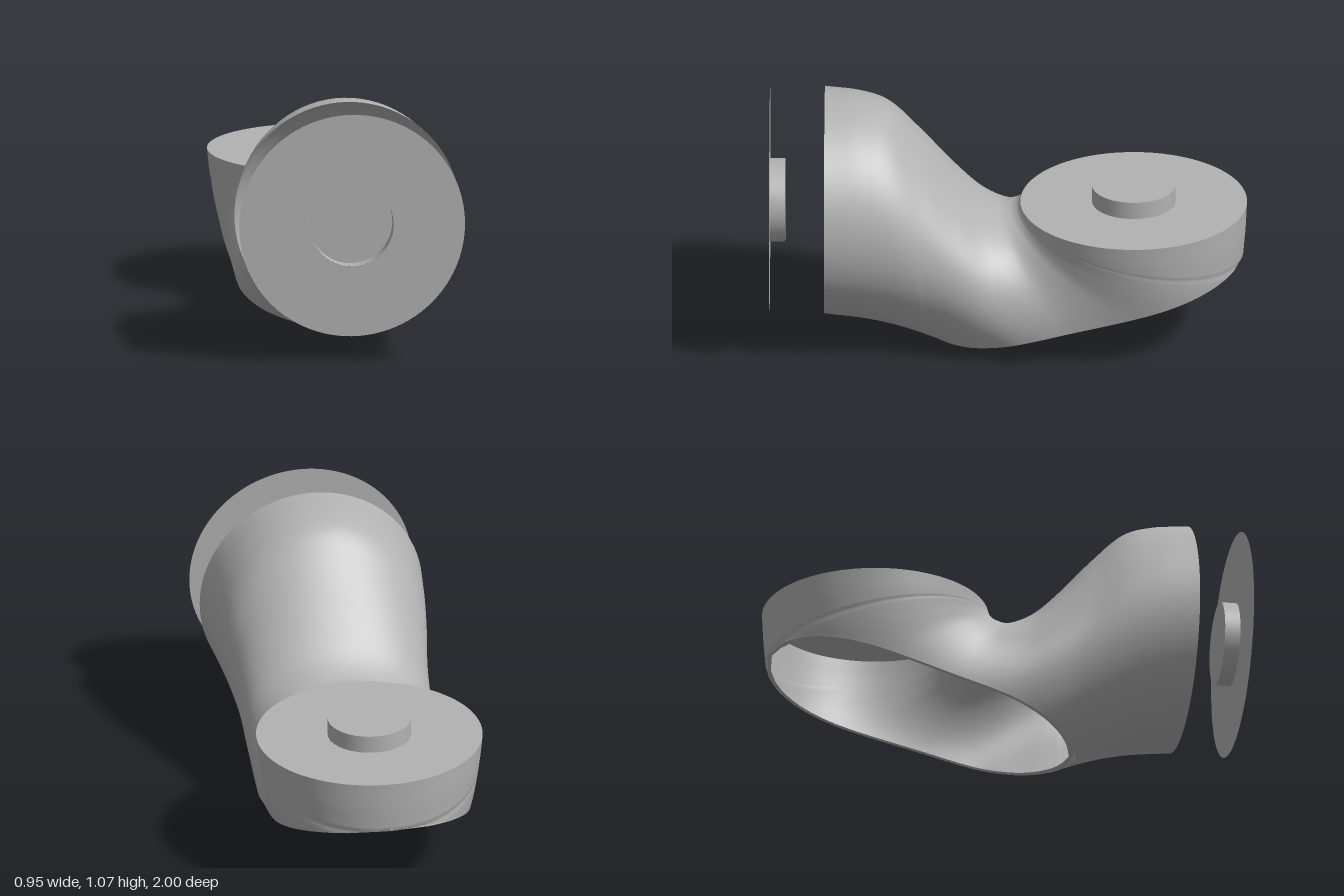
import * as THREE from 'three';

const ROWS = 110, COLS = 80, R = 0.475, BOSS = 0.175, MID = 0.59;

// Cross-sections from the front opening round to the top plate:
// inner bend z, y / outer bend z, y / half width
const SECTIONS = [
  [0.77, 1.07, 0.77, 0.115, 0.475],
  [0.62, 1.055, 0.58, 0.085, 0.455],
  [0.5, 1.01, 0.42, 0.04, 0.435],
  [0.37, 0.88, 0.25, -0.03, 0.41],
  [0.25, 0.74, 0.05, -0.13, 0.4],
  [0.14, 0.625, -0.2, -0.22, 0.395],
  [0.05, 0.565, -0.55, -0.2, 0.398],
  [0.0, 0.555, -0.85, 0.0, 0.42],
  [-0.03, 0.563, -0.96, 0.2, 0.445],
  [-0.045, 0.577, -0.99, 0.42, 0.465],
  [-0.05, 0.59, -1.0, 0.59, 0.475],
];
const innerBend = new THREE.CatmullRomCurve3(
  SECTIONS.map(([z, y, , , w]) => new THREE.Vector3(w, y, z)), false, 'catmullrom', 0.5);
const outerBend = new THREE.CatmullRomCurve3(
  SECTIONS.map(([, , z, y]) => new THREE.Vector3(0, y, z)), false, 'catmullrom', 0.5);

// Height above the sloping plane that cuts the underside open
const aboveCut = (y, z) => y - 0.277 * (0.32 - z);

// One ellipse of the bent tube, stopped where it meets the cut
function section(t, wall) {
  const a = innerBend.getPoint(t), b = outerBend.getPoint(t);
  const inset = wall * Math.min(1, t * 4);
  const cy = (a.y + b.y) / 2, cz = (a.z + b.z) / 2;
  const shrink = 1 - inset / Math.hypot(a.y - cy, a.z - cz);
  const uy = (a.y - cy) * shrink, uz = (a.z - cz) * shrink, w = a.x - inset;
  const fc = aboveCut(cy, cz), ft = aboveCut(cy + uy, cz + uz);
  const end = Math.acos(THREE.MathUtils.clamp(-fc / (ft - fc), -1, 1));
  return {
    end,
    at: (s) => [w * Math.sin(s * end), cy + uy * Math.cos(s * end), cz + uz * Math.cos(s * end)],
  };
}

// Grid surface from rows of points
function gridGeometry(rows, flip) {
  const n = rows[0].length, index = [];
  for (let i = 0; i < rows.length - 1; i++) {
    for (let j = 0; j < n - 1; j++) {
      const a = i * n + j, b = a + 1, c = a + n, d = c + 1;
      if (flip) index.push(a, c, b, b, c, d);
      else index.push(a, b, c, b, d, c);
    }
  }
  const g = new THREE.BufferGeometry();
  g.setAttribute('position', new THREE.Float32BufferAttribute(rows.flat(2), 3));
  g.setIndex(index);
  g.computeVertexNormals();
  return g;
}

function shellGeometry(wall, flip) {
  const rows = [], closed = [];
  for (let i = 0; i <= ROWS; i++) {
    const s = section(i / ROWS, wall);
    closed.push(s.end > Math.PI - 1e-6);
    rows.push(Array.from({ length: COLS + 1 }, (_, j) => s.at((2 * j) / COLS - 1)));
  }
  const g = gridGeometry(rows, flip), normal = g.attributes.normal, v = new THREE.Vector3();
  // Smooth the seam where a section closes on itself
  closed.forEach((isClosed, i) => {
    if (!isClosed) return;
    for (const k of [i * (COLS + 1), i * (COLS + 1) + COLS]) {
      v.fromBufferAttribute(normal, k).setX(0).normalize();
      normal.setXYZ(k, v.x, v.y, v.z);
    }
  });
  return g;
}

// Edge strip joining the outer and inner skins along the cut
function rimGeometry(side, wall) {
  const rows = [];
  for (let i = 0; i <= ROWS; i++) {
    rows.push([section(i / ROWS, 0).at(side), section(i / ROWS, wall).at(side)]);
  }
  return gridGeometry(rows, side < 0);
}

export function createModel() {
  const model = new THREE.Group();
  const grey = new THREE.MeshStandardMaterial({ color: 0xb2b2b2, side: THREE.DoubleSide });
  grey.name = 'grey';
  const add = (parent, name, geometry) => {
    const mesh = new THREE.Mesh(geometry, grey);
    mesh.name = name;
    parent.add(mesh);
    return mesh;
  };

  // Bent hollow body
  const wall = 0.02;
  add(model, 'outerShell', shellGeometry(0, false));
  add(model, 'innerShell', shellGeometry(wall, true));
  for (const side of [-1, 1]) add(model, side < 0 ? 'rimRight' : 'rimLeft', rimGeometry(side, wall));

  // Thin round plate with a hollow stud or a socket in its middle, facing +z
  function plate(name, depth) {
    const group = new THREE.Group();
    group.name = name;
    add(group, name + 'Disc', new THREE.RingGeometry(BOSS, R, 96));
    const tube = add(group, name + 'Wall',
      new THREE.CylinderGeometry(BOSS, BOSS, Math.abs(depth), 48, 1, true).rotateX(Math.PI / 2));
    tube.position.z = depth / 2;
    add(group, name + 'Centre', new THREE.CircleGeometry(BOSS, 48)).position.z = depth;
    model.add(group);
    return group;
  }
  const top = plate('topPlate', 0.075);
  top.rotation.x = -Math.PI / 2;
  top.position.set(0, MID, -0.525);
  plate('frontPlate', -0.065).position.set(0, MID, 1);

  return model;
}
